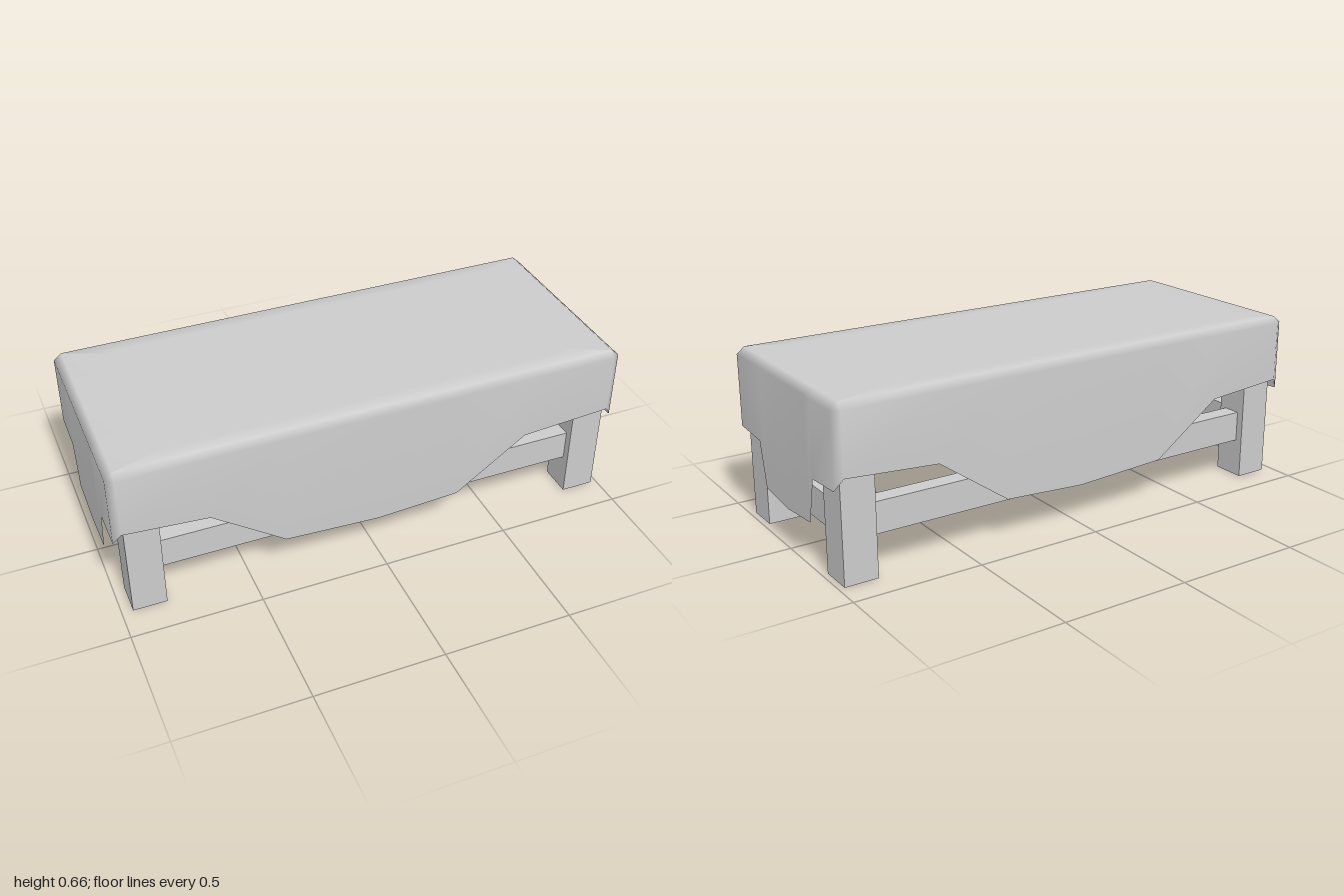
import * as THREE from 'three';

export function createModel() {
  const group = new THREE.Group();
  const material = new THREE.MeshStandardMaterial({ color: 0xcccccc, side: THREE.DoubleSide });

  const add = (name, geometry, x = 0, y = 0, z = 0) => {
    const mesh = new THREE.Mesh(geometry, material);
    mesh.name = name;
    mesh.position.set(x, y, z);
    group.add(mesh);
    return mesh;
  };

  // Draped cloth: outline points [x, z, hem height], running anticlockwise from above
  const longHem = [[-0.97, 0.4], [-0.65, 0.375], [-0.37, 0.177], [0, 0.158], [0.33, 0.177], [0.61, 0.375], [0.97, 0.4]];
  const endHem = [[0.39, 0.355], [0.225, 0.346], [0.185, 0.172], [0, 0.155], [-0.19, 0.172], [-0.23, 0.346], [-0.39, 0.355]];
  const outline = [
    ...longHem.map(([x, y]) => [x, 0.41, y]),
    ...endHem.map(([z, y]) => [1, z, y]),
    ...[...longHem].reverse().map(([x, y]) => [x, -0.41, y]),
    ...[...endHem].reverse().map(([z, y]) => [-1, z, y]),
  ];
  const n = outline.length;
  const inset = (v, limit) => THREE.MathUtils.clamp(v, -limit, limit);
  // Rings from the hem up over the rounded shoulder to the flat top
  const rings = [
    ([x, z, y]) => [x, y, z],
    ([x, z]) => [x, 0.635, z],
    ([x, z]) => [inset(x, 0.97), 0.661, inset(z, 0.388)],
    ([x, z]) => [x * 0.8, 0.662, z * 0.8],
  ];
  const positions = rings.flatMap((ring) => outline.flatMap(ring));
  positions.push(0, 0.662, 0);
  const index = [];
  for (let i = 0; i < n; i++) {
    const j = (i + 1) % n;
    for (let r = 0; r < rings.length - 1; r++) {
      const a = r * n + i, b = r * n + j;
      index.push(a, b, b + n, a, b + n, a + n);
    }
    index.push((rings.length - 1) * n + i, (rings.length - 1) * n + j, rings.length * n);
  }
  const cloth = new THREE.BufferGeometry();
  cloth.setAttribute('position', new THREE.Float32BufferAttribute(positions, 3));
  cloth.setIndex(index);
  cloth.computeVertexNormals();
  add('tablecloth', cloth);

  // Square legs, hollow and open at the foot
  const legHeight = 0.63, legSize = 0.13;
  const legX = [-0.893, 0.912], legZ = [-0.324, 0.308];
  const leg = new THREE.CylinderGeometry(legSize / Math.SQRT2, legSize / Math.SQRT2, legHeight, 4, 1, true)
    .rotateY(Math.PI / 4).toNonIndexed();
  leg.computeVertexNormals();
  for (const x of legX) for (const z of legZ) add('leg', leg, x, legHeight / 2, z);

  // Low stretchers and upper aprons between the legs
  const midX = (legX[0] + legX[1]) / 2, midZ = (legZ[0] + legZ[1]) / 2;
  const spanX = legX[1] - legX[0] - legSize, spanZ = legZ[1] - legZ[0] - legSize;
  for (const [name, y] of [['Stretcher', 0.21], ['Apron', 0.57]]) {
    const long = new THREE.BoxGeometry(spanX, 0.12, 0.07);
    const short = new THREE.BoxGeometry(0.07, 0.12, spanZ);
    for (const z of legZ) add('long' + name, long, midX, y, z);
    for (const x of legX) add('end' + name, short, x, y, midZ);
  }

  return group;
}
